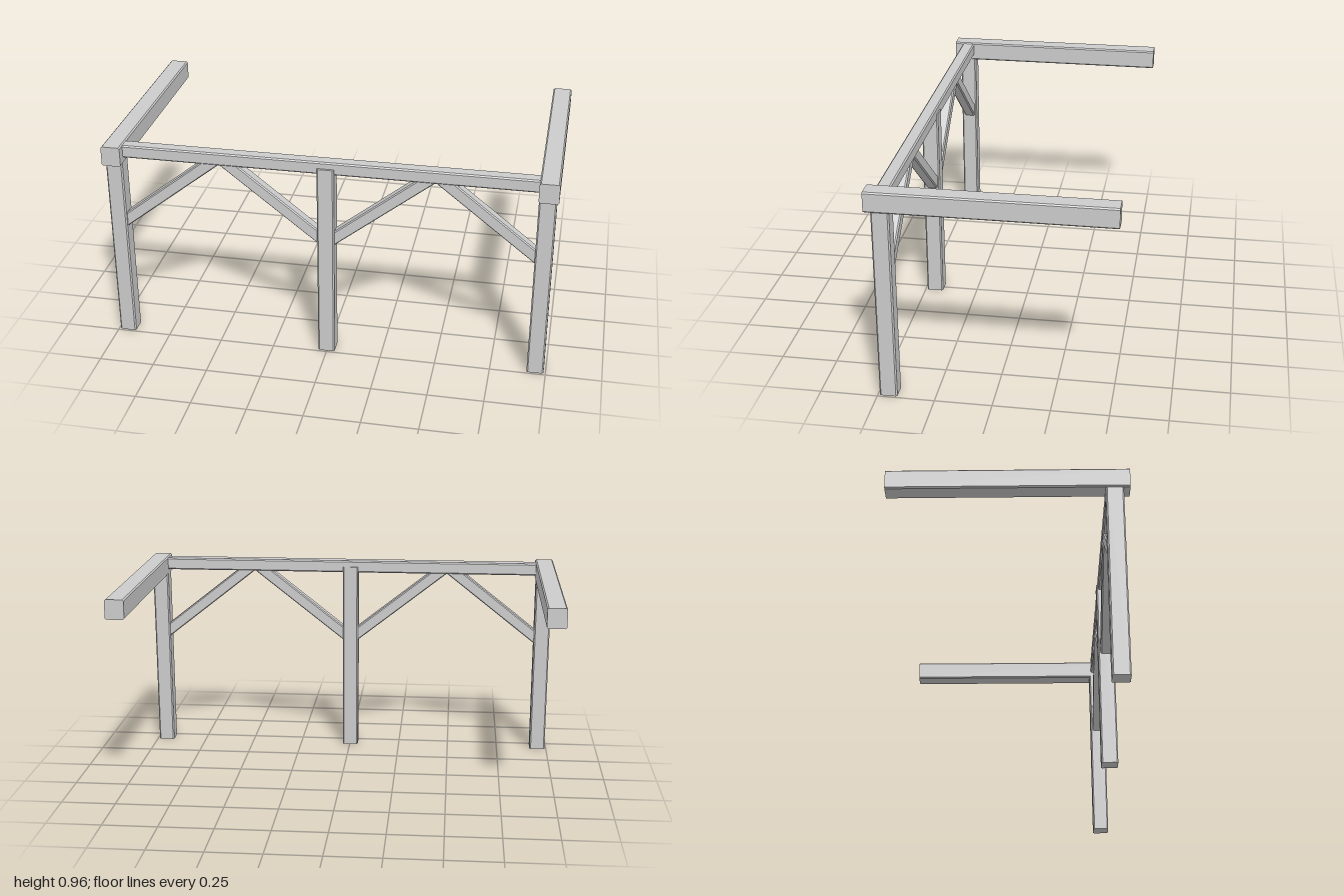
import * as THREE from 'three';

const material = new THREE.MeshStandardMaterial({ color: 0xcccccc, flatShading: true });

// Chamfered rectangular timber running along +z from 0 to length
function timber(w, h, length, c = 0.006) {
  const x = w / 2, y = h / 2;
  const section = new THREE.Shape([
    [x - c, -y], [x, -y + c], [x, y - c], [x - c, y],
    [-x + c, y], [-x, y - c], [-x, -y + c], [-x + c, -y],
  ].map(([a, b]) => new THREE.Vector2(a, b)));
  return new THREE.ExtrudeGeometry(section, { depth: length, bevelEnabled: false });
}

// Diagonal brace: vertical cut against the post, level cut under the beam
function brace(postX, dir) {
  const slope = 0.789, middleY = 0.584, topY = 0.9;
  const geometry = timber(0.052, 0.068, 1).rotateY(Math.PI / 2);
  const p = geometry.attributes.position;
  for (let i = 0; i < p.count; i++) {
    const base = middleY + p.getY(i);
    const run = p.getX(i) > 0.5 ? (topY - base) / slope : 0;
    p.setXYZ(i, postX + dir * run, base + slope * run, dir * p.getZ(i));
  }
  geometry.computeVertexNormals();
  return geometry;
}

export function createModel() {
  const group = new THREE.Group();
  const add = (name, geometry, x, y, z) => {
    const mesh = new THREE.Mesh(geometry, material);
    mesh.name = name;
    mesh.position.set(x, y, z);
    group.add(mesh);
  };
  const frameZ = 0.453;

  // Upright posts
  const post = (name, x, height) =>
    add(name, timber(0.076, 0.077, height).rotateX(-Math.PI / 2), x, 0, frameZ);
  post('rightPost', -0.955, 0.875);
  post('centrePost', -0.002, 0.925);
  post('leftPost', 0.953, 0.875);

  // Beams running front to back over the outer posts
  for (const [name, x] of [['rightSideBeam', -0.957], ['leftSideBeam', 0.957]]) {
    add(name, timber(0.086, 0.09, 1.038), x, 0.915, -0.519);
  }

  // Cross beam joining the posts
  add('crossBeam', timber(0.06, 0.058, 1.84).rotateY(Math.PI / 2), -0.92, 0.926, 0.451);

  // Four diagonal braces
  for (const [x, dir] of [[-0.92, 1], [-0.038, -1], [0.034, 1], [0.918, -1]]) {
    add('diagonalBrace', brace(x, dir), 0, 0, 0.451);
  }
  return group;
}
